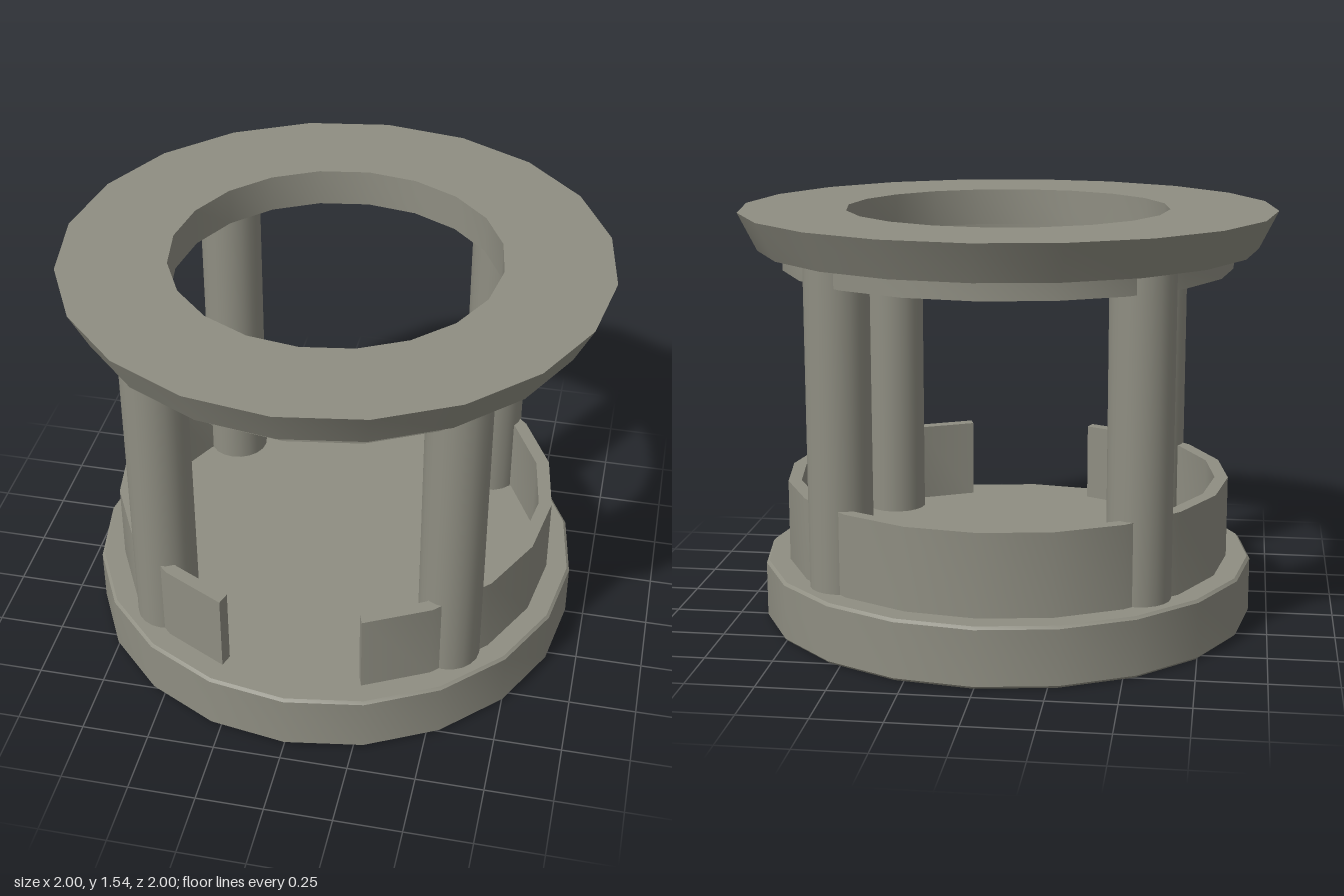
import * as THREE from 'three';
import { toCreasedNormals } from 'three/addons/utils/BufferGeometryUtils.js';

const SIDES = 20;

export function createModel() {
  const model = new THREE.Group();
  const stone = new THREE.MeshStandardMaterial({ color: 0x8f8e82 });
  stone.name = 'warm grey stone';

  const add = (name, geometry) => {
    const mesh = new THREE.Mesh(toCreasedNormals(geometry, 0.5), stone);
    mesh.name = name;
    model.add(mesh);
    return mesh;
  };

  // Revolve a profile of [radius, height] pairs, listed from the bottom up the outside
  const turned = (profile) =>
    new THREE.LatheGeometry(profile.map(([r, y]) => new THREE.Vector2(r, y)), SIDES);

  // Round floor slab with slightly eased edges
  add('base', turned([[0, 0], [0.92, 0], [0.93, 0.01], [0.93, 0.215], [0.92, 0.225], [0, 0.225]]));

  // Low parapet, open at the front by two facets
  const outer = [], inner = [];
  for (let i = 1; i < SIDES; i++) {
    const a = (i / SIDES) * Math.PI * 2;
    outer.push(new THREE.Vector2(0.84 * Math.sin(a), -0.84 * Math.cos(a)));
    inner.unshift(new THREE.Vector2(0.79 * Math.sin(a), -0.79 * Math.cos(a)));
  }
  const parapet = new THREE.ExtrudeGeometry(new THREE.Shape([...outer, ...inner]), {
    depth: 0.31, bevelEnabled: false,
  });
  parapet.rotateX(-Math.PI / 2).translate(0, 0.222, 0);
  add('parapet', parapet);

  // Four round pillars on the diagonals
  for (const x of [-1, 1]) {
    for (const z of [-1, 1]) {
      const pillar = add('pillar', new THREE.CylinderGeometry(0.117, 0.117, 1.19, SIDES));
      pillar.position.set(x * 0.537, 0.815, z * 0.537);
    }
  }

  // Lintel ring running through the pillar tops
  add('lintelRing', turned([[0.79, 1.33], [0.84, 1.33], [0.84, 1.405], [0.79, 1.405], [0.79, 1.33]]));

  // Flared roof ring with a round opening
  add('roofRing', turned([[0.603, 1.405], [0.93, 1.405], [1, 1.545], [0.603, 1.545], [0.603, 1.405]]));

  return model;
}
